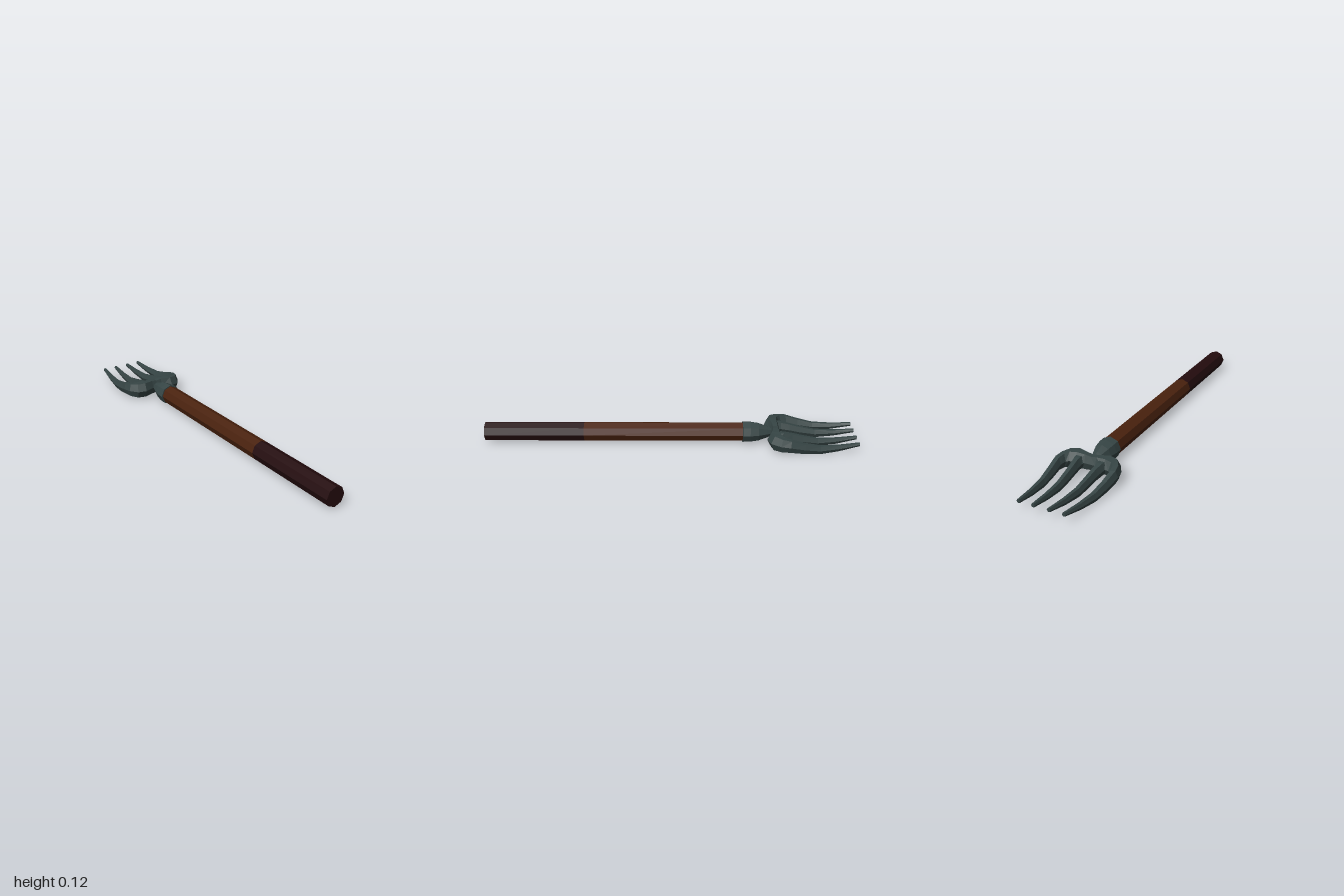
import * as THREE from 'three';

const mat = (name, color) => new THREE.MeshStandardMaterial({ name, color });

// Give every face its own normals for a faceted look
function faceted(geo) {
  const g = geo.index ? geo.toNonIndexed() : geo;
  g.computeVertexNormals();
  return g;
}

// Eight-sided turned part along z, profile as [radius, z] from back to front
function turned(name, profile, material) {
  const pts = profile.map(([r, z]) => new THREE.Vector2(r, z));
  const geo = new THREE.LatheGeometry(pts, 8).rotateX(Math.PI / 2);
  const mesh = new THREE.Mesh(faceted(geo), material);
  mesh.name = name;
  mesh.position.set(-0.003, 0.061, 0);
  return mesh;
}

// Six-sided loft; section = [outerX, outerZ, innerX, innerZ, centreY, halfHeight]
function loft(name, sections, side, material) {
  const rings = sections.map(([ox, oz, ix, iz, y, h]) =>
    [[0, 0], [0.25, 1], [0.75, 1], [1, 0], [0.75, -1], [0.25, -1]].map(([t, v]) =>
      [side * (ox + (ix - ox) * t), y + h * v, oz + (iz - oz) * t]));
  const pos = [];
  const tri = (a, b, c) => pos.push(...a, ...(side > 0 ? b : c), ...(side > 0 ? c : b));
  for (let k = 0; k < rings.length - 1; k++) {
    for (let j = 0; j < 6; j++) {
      const n = (j + 1) % 6;
      const [a, b, c, d] = [rings[k][j], rings[k][n], rings[k + 1][n], rings[k + 1][j]];
      tri(a, c, b);
      tri(a, d, c);
    }
  }
  const first = rings[0], last = rings[rings.length - 1];
  for (let j = 1; j < 5; j++) {
    tri(first[0], first[j], first[j + 1]);
    tri(last[0], last[j + 1], last[j]);
  }
  const geo = new THREE.BufferGeometry();
  geo.setAttribute('position', new THREE.Float32BufferAttribute(pos, 3));
  const mesh = new THREE.Mesh(faceted(geo), material);
  mesh.name = name;
  mesh.position.x = -0.002;
  return mesh;
}

export function createModel() {
  const metal = mat('dark metal', 0x364545);
  const wood = mat('brown wood', 0x4a220e);
  const wrap = mat('dark grip', 0x240c0e);
  const model = new THREE.Group();
  model.name = 'handFork';

  // Handle and collar
  model.add(turned('grip', [[0.052, 0.465], [0.052, 1], [0, 1]], wrap));
  model.add(turned('shaft', [[0, -0.42], [0.052, -0.42], [0.052, 0.465]], wood));
  model.add(turned('collar',
    [[0, -0.56], [0.024, -0.545], [0.034, -0.52], [0.05, -0.475], [0.057, -0.43], [0.058, -0.39], [0, -0.39]], metal));

  // Outer tine: half of the crossbar, then bending back to the tip
  const outer = [
    [0, -0.54, 0, -0.592, 0.06, 0.036],
    [0.03, -0.538, 0.03, -0.592, 0.06, 0.04],
    [0.088, -0.515, 0.075, -0.6, 0.06, 0.042],
    [0.135, -0.53, 0.108, -0.605, 0.058, 0.041],
    [0.166, -0.58, 0.122, -0.614, 0.056, 0.037],
    [0.176, -0.63, 0.128, -0.645, 0.054, 0.033],
    [0.168, -0.71, 0.125, -0.71, 0.038, 0.028],
    [0.158, -0.79, 0.12, -0.79, 0.027, 0.022],
    [0.144, -0.89, 0.114, -0.89, 0.033, 0.016],
    [0.128, -1, 0.108, -1, 0.049, 0.009],
  ];
  // Inner tine, rooted in the crossbar
  const inner = [
    [0.1, -0.56, 0.025, -0.56, 0.06, 0.03],
    [0.088, -0.605, 0.038, -0.605, 0.057, 0.032],
    [0.08, -0.65, 0.037, -0.65, 0.05, 0.03],
    [0.075, -0.71, 0.036, -0.71, 0.038, 0.027],
    [0.069, -0.79, 0.035, -0.79, 0.027, 0.022],
    [0.061, -0.89, 0.033, -0.89, 0.033, 0.016],
    [0.051, -1, 0.031, -1, 0.049, 0.009],
  ];
  for (const [side, label] of [[1, 'left'], [-1, 'right']]) {
    model.add(loft(label + 'OuterTine', outer, side, metal));
    model.add(loft(label + 'InnerTine', inner, side, metal));
  }
  return model;
}
